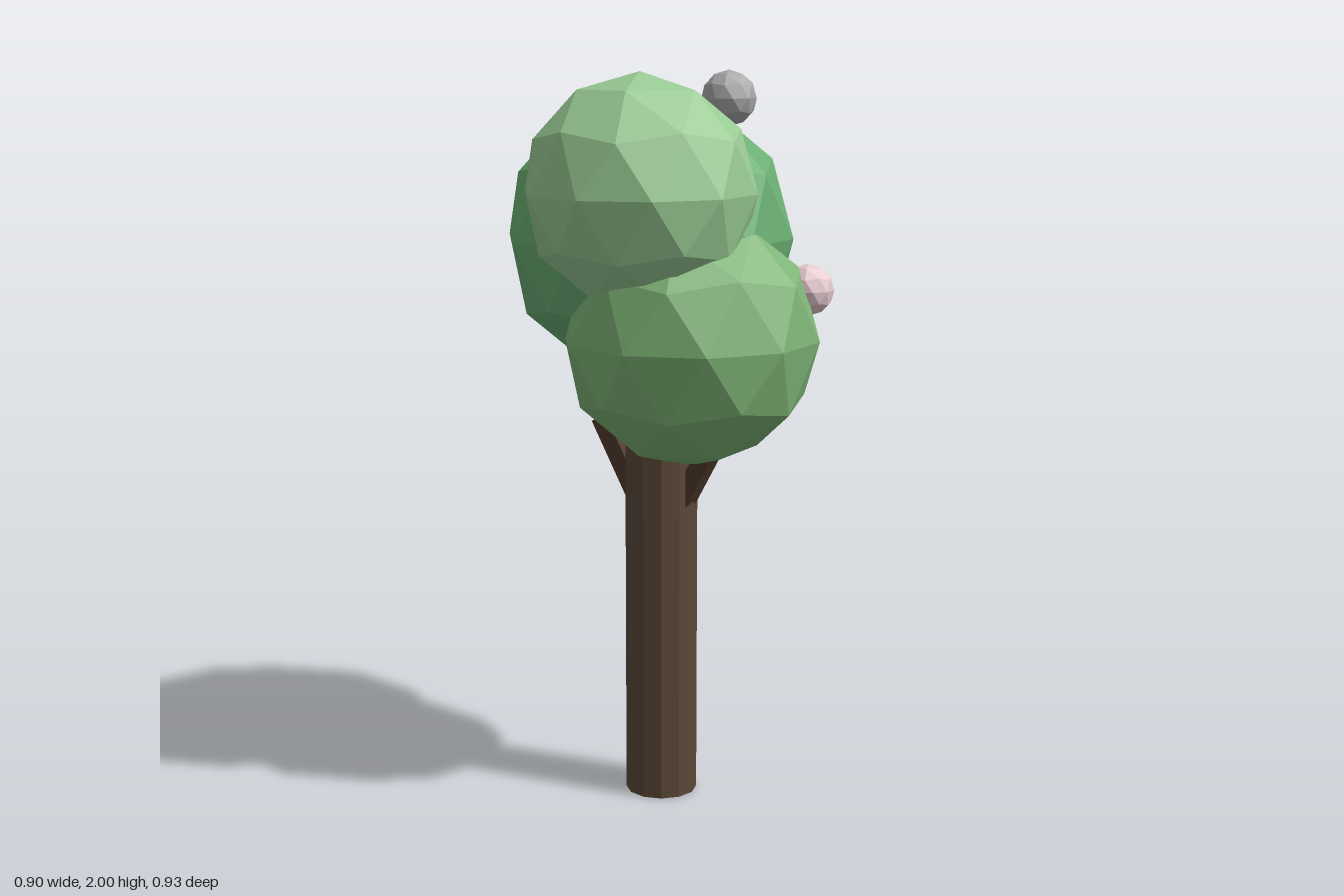
import * as THREE from 'three';

const PHI = (1 + Math.sqrt(5)) / 2;

function mat(color) {
  return new THREE.MeshStandardMaterial({ color, flatShading: true });
}

// Faceted ball with one corner pointing straight up
function ball(name, color, radius, x, y, z) {
  const geo = new THREE.IcosahedronGeometry(radius, 1);
  geo.rotateZ(-Math.atan(1 / PHI));
  const mesh = new THREE.Mesh(geo, mat(color));
  mesh.name = name;
  mesh.position.set(x, y, z);
  return mesh;
}

export function createModel() {
  const tree = new THREE.Group();
  tree.name = 'tree';

  // Trunk
  const trunkX = 0.025, trunkZ = 0.032;
  const trunk = new THREE.Mesh(new THREE.CylinderGeometry(0.099, 0.099, 1, 12), mat(0x5c4838));
  trunk.name = 'trunk';
  trunk.position.set(trunkX, 0.5, trunkZ);
  tree.add(trunk);

  // Two mirrored branches leaning out of the trunk
  const branchMat = mat(0x4f3a2c);
  for (const side of [-1, 1]) {
    const branch = new THREE.Mesh(new THREE.BoxGeometry(0.05, 0.3, 0.055), branchMat);
    branch.name = side > 0 ? 'leftBranch' : 'rightBranch';
    branch.position.set(trunkX + side * 0.114, 0.922, trunkZ);
    branch.rotation.z = -side * 0.5;
    tree.add(branch);
  }

  // Three overlapping clumps of leaves
  tree.add(
    ball('backFoliage', 0x6cb074, 0.4, -0.07, 1.55, -0.066),
    ball('lowerFoliage', 0x80b678, 0.351, 0.113, 1.293, 0.03),
    ball('frontFoliage', 0x9acb94, 0.313, 0.028, 1.687, 0.15)
  );

  // Small blossoms and fruit
  tree.add(
    ball('topFruit', 0xaaaaaa, 0.077, 0.088, 1.923, -0.23),
    ball('sideBlossom', 0xe8ccd2, 0.071, 0.373, 1.42, -0.155),
    ball('buriedBlossom', 0xd8c8ca, 0.065, -0.357, 1.668, -0.008)
  );

  return tree;
}
